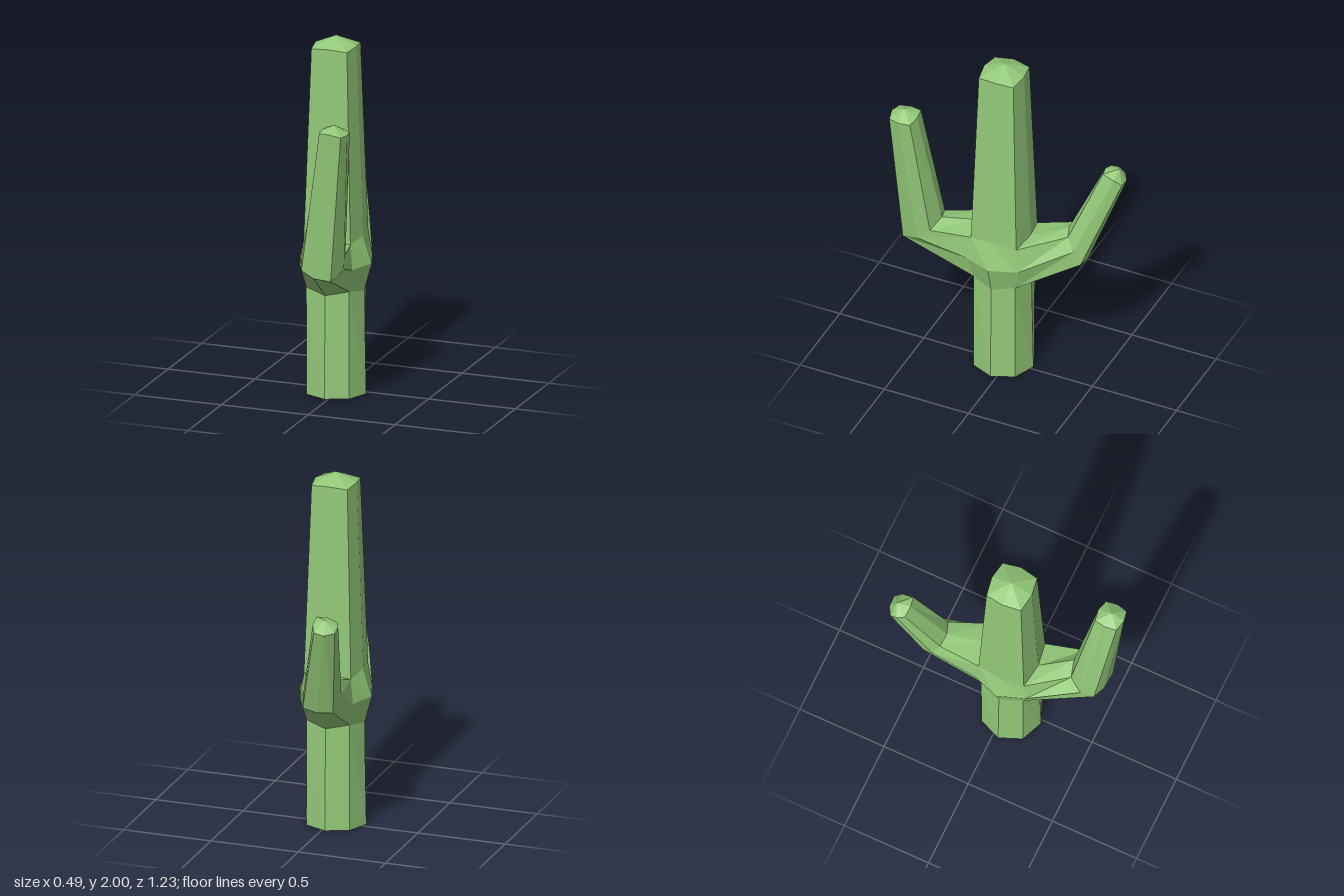
import * as THREE from 'three';

const material = new THREE.MeshStandardMaterial({ color: 0x92c878, flatShading: true });

// Collects corner positions of outward-facing triangles
const quad = (out, a, b, c, d) => out.push(...a, ...b, ...c, ...a, ...c, ...d);

// Skin between two eight-sided rings, leaving out the listed sides
function loft(out, lower, upper, skip = []) {
  lower.forEach((p, i) => {
    const j = (i + 1) % lower.length;
    if (!skip.includes(i)) quad(out, p, upper[i], upper[j], lower[j]);
  });
}

// Shallow pointed cap over a ring
function cap(out, ring, apex) {
  ring.forEach((p, i) => out.push(...p, ...apex, ...ring[(i + 1) % ring.length]));
}

function part(name, positions) {
  const geometry = new THREE.BufferGeometry();
  geometry.setAttribute('position', new THREE.Float32BufferAttribute(positions, 3));
  geometry.computeVertexNormals();
  const mesh = new THREE.Mesh(geometry, material);
  mesh.name = name;
  return mesh;
}

// Trunk ring running left, front, right, back; corners have their own radius and height
function trunkRing(y, side, corner = side, cornerY = y) {
  return Array.from({ length: 8 }, (_, i) => {
    const a = (i * Math.PI) / 4;
    const r = i % 2 ? corner : side;
    return [-0.02 + r * Math.cos(a), i % 2 ? cornerY : y, 0.033 + r * Math.sin(a)];
  });
}

export function createModel() {
  const group = new THREE.Group();
  group.name = 'cactus';

  // Trunk rings; the collar bulges where the arms leave
  const base = trunkRing(0, 0.174);
  const low = trunkRing(0.58, 0.163, 0.175, 0.604);
  const mid = trunkRing(0.737, 0.206, 0.215);
  const high = trunkRing(0.89, 0.157, 0.19, 0.872);
  const top = trunkRing(1.95, 0.119, 0.145, 1.94);
  const armSides = [1, 2, 5, 6];

  const trunk = [];
  loft(trunk, base, low);
  loft(trunk, low, mid, armSides);
  loft(trunk, mid, high, armSides);
  loft(trunk, high, top);
  cap(trunk, top, [-0.02, 2, 0.03]);
  cap(trunk, [...base].reverse(), [-0.02, 0, 0.033]);
  group.add(part('trunk', trunk));

  // Each arm grows from the opening in the collar, bends at an elbow and ends in a cap
  function arm(name, k, elbow, tip, apex) {
    const root = [high[k], mid[k], low[k], low[k + 1], low[k + 2], mid[k + 2], high[k + 2], high[k + 1]];
    const out = [];
    loft(out, root, elbow);
    loft(out, elbow, tip);
    cap(out, tip, apex);
    group.add(part(name, out));
  }

  arm('frontArm', 1,
    [[0.17, 0.885, 0.385], [0.187, 0.825, 0.45], [0.15, 0.78, 0.555], [0.05, 0.785, 0.55],
      [-0.03, 0.815, 0.525], [-0.055, 0.86, 0.455], [-0.01, 0.9, 0.38], [0.08, 0.925, 0.355]],
    [[0.23, 1.61, 0.475], [0.24, 1.61, 0.54], [0.225, 1.61, 0.6], [0.165, 1.625, 0.613],
      [0.1, 1.62, 0.597], [0.09, 1.625, 0.53], [0.1, 1.625, 0.47], [0.165, 1.625, 0.46]],
    [0.165, 1.66, 0.54]);

  arm('backArm', 5,
    [[-0.165, 0.945, -0.325], [-0.195, 0.88, -0.36], [-0.17, 0.79, -0.42], [-0.08, 0.785, -0.435],
      [0, 0.8, -0.43], [0.01, 0.88, -0.39], [-0.02, 0.945, -0.345], [-0.09, 0.96, -0.32]],
    [[-0.225, 1.345, -0.505], [-0.245, 1.335, -0.545], [-0.24, 1.31, -0.585], [-0.19, 1.3, -0.615],
      [-0.13, 1.31, -0.615], [-0.11, 1.34, -0.575], [-0.11, 1.365, -0.51], [-0.165, 1.365, -0.5]],
    [-0.18, 1.375, -0.575]);

  return group;
}
